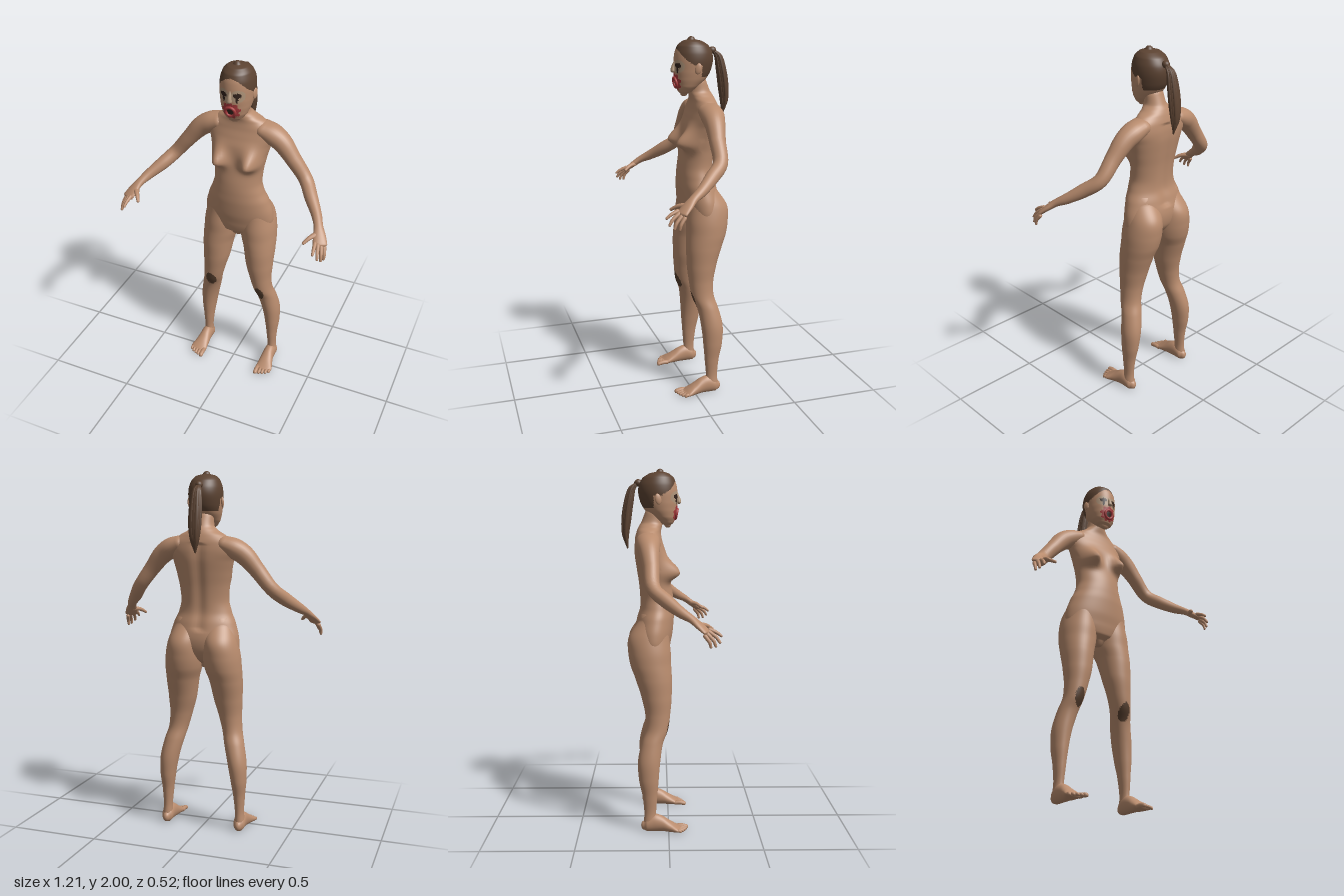
import * as THREE from 'three';

const mat = (name, color) => {
  const m = new THREE.MeshStandardMaterial({ color });
  m.name = name;
  return m;
};

// Smooth loft through [x, y, z, radiusU, radiusV] stations with rounded ends.
// ref sets the direction of radiusU; axis, if given, keeps every ring level.
function loft(stations, { ref = [1, 0, 0], axis = null, seg = 24, steps = 5 } = {}) {
  const pathCurve = new THREE.CatmullRomCurve3(stations.map(s => new THREE.Vector3(s[0], s[1], s[2])));
  const sizeCurve = new THREE.CatmullRomCurve3(stations.map(s => new THREE.Vector3(s[3], s[4], 0)), false, 'catmullrom', 0.4);
  const n = (stations.length - 1) * steps;
  const rings = [];
  for (let i = 0; i <= n; i++) {
    const t = i / n;
    const T = axis ? new THREE.Vector3(...axis) : pathCurve.getTangent(t);
    const U = new THREE.Vector3(...ref);
    U.addScaledVector(T, -U.dot(T)).normalize();
    const V = new THREE.Vector3().crossVectors(T, U);
    const size = sizeCurve.getPoint(t);
    rings.push({ p: pathCurve.getPoint(t), T, U, V, a: size.x, b: size.y });
  }
  const cap = (ring, sign) => [0.5, 1.0, 1.35, 1.55].map(k => ({
    ...ring,
    p: ring.p.clone().addScaledVector(ring.T, sign * 0.8 * Math.min(ring.a, ring.b) * Math.sin(k)),
    a: ring.a * Math.cos(k), b: ring.b * Math.cos(k),
  }));
  const all = [...cap(rings[0], -1).reverse(), ...rings, ...cap(rings[n], 1)];
  const pos = [], idx = [];
  all.forEach((r, i) => {
    for (let j = 0; j < seg; j++) {
      const w = j / seg * Math.PI * 2;
      const v = r.p.clone().addScaledVector(r.U, r.a * Math.cos(w)).addScaledVector(r.V, r.b * Math.sin(w));
      pos.push(v.x, v.y, v.z);
      if (i < all.length - 1) {
        const a = i * seg + j, b = i * seg + (j + 1) % seg;
        idx.push(a, b, a + seg, b, b + seg, a + seg);
      }
    }
  });
  const g = new THREE.BufferGeometry();
  g.setAttribute('position', new THREE.Float32BufferAttribute(pos, 3));
  g.setIndex(idx);
  g.computeVertexNormals();
  return g;
}

// Move each vertex by a rule
function shape(g, rule) {
  const p = g.attributes.position, v = new THREE.Vector3();
  for (let i = 0; i < p.count; i++) {
    rule(v.fromBufferAttribute(p, i));
    p.setXYZ(i, v.x, v.y, v.z);
  }
  g.computeVertexNormals();
  return g;
}

// Sort faces into material groups by the position of their centre
function paint(g, count, rule) {
  const p = g.attributes.position, old = g.index.array;
  const lists = Array.from({ length: count }, () => []);
  for (let i = 0; i < old.length; i += 3) {
    const c = new THREE.Vector3();
    for (let k = 0; k < 3; k++) c.add(new THREE.Vector3().fromBufferAttribute(p, old[i + k]));
    c.divideScalar(3);
    lists[rule(c.x, c.y, c.z)].push(old[i], old[i + 1], old[i + 2]);
  }
  g.setIndex(lists.flat());
  let start = 0;
  lists.forEach((l, m) => { g.addGroup(start, l.length, m); start += l.length; });
  return g;
}

const inOval = (x, y, cx, cy, rx, ry) => ((x - cx) / rx) ** 2 + ((y - cy) / ry) ** 2 < 1;

// [y, half width, front z, back z] to a level station
const level = ([y, rx, f, b]) => [0, y, (f + b) / 2, rx, (f - b) / 2];

export function createModel() {
  const root = new THREE.Group();
  const skin = mat('skin', 0xb98c6e), hair = mat('hair', 0x5c4332), pale = mat('paleSkin', 0xb0957a);
  const red = mat('redPaint', 0xa83a3c), dark = mat('darkPaint', 0x33231c), scuff = mat('kneeScuff', 0x58402f);
  const down = [0, -1, 0];
  const add = (name, geo, material, parent = root) => {
    const m = new THREE.Mesh(geo, material);
    m.name = name;
    parent.add(m);
    return m;
  };
  const ball = (name, material, p, s) => {
    const m = add(name, new THREE.SphereGeometry(1, 20, 14), material);
    m.position.set(...p);
    m.scale.set(...s);
    return m;
  };

  // Neck and trunk, with the chest and spine shaped by a rule
  const torso = loft([
    [1.76, 0.052, -0.03, -0.13], [1.71, 0.058, -0.03, -0.15], [1.685, 0.085, -0.035, -0.165],
    [1.66, 0.13, -0.04, -0.175], [1.62, 0.185, -0.035, -0.185], [1.57, 0.19, -0.02, -0.19],
    [1.52, 0.172, -0.004, -0.188], [1.45, 0.155, 0.005, -0.178], [1.38, 0.142, 0.015, -0.168],
    [1.3, 0.137, 0.028, -0.162], [1.24, 0.152, 0.032, -0.163], [1.18, 0.178, 0.032, -0.18],
    [1.1, 0.2, 0.025, -0.195], [1.03, 0.2, 0.012, -0.185], [0.98, 0.15, 0, -0.15], [0.95, 0.04, -0.03, -0.1],
  ].map(level), { axis: down, seg: 64, steps: 6 });
  shape(torso, v => {
    if (v.z > -0.07) {
      const h = v.y < 1.435 ? 0.038 : 0.065;
      const d = ((Math.abs(v.x) - 0.092) / 0.045) ** 2 + ((v.y - 1.435) / h) ** 2;
      v.z += 0.075 * Math.exp(-d);
    } else if (v.z < -0.1) {
      v.z += 0.012 * Math.exp(-((v.x / 0.03) ** 2)) * (v.y > 1.15 && v.y < 1.62 ? 1 : 0);
    }
  });
  add('torso', torso, skin);

  // Head, with hairline and face paint as face groups
  const head = loft([
    [1.985, 0.02, -0.025, -0.065], [1.975, 0.055, 0.005, -0.105], [1.95, 0.078, 0.033, -0.142],
    [1.91, 0.091, 0.047, -0.162], [1.87, 0.094, 0.052, -0.165], [1.82, 0.09, 0.053, -0.153],
    [1.78, 0.083, 0.05, -0.13], [1.74, 0.07, 0.043, -0.09], [1.71, 0.05, 0.03, -0.05], [1.695, 0.03, 0.015, -0.02],
  ].map(level), { axis: down, seg: 96, steps: 9 });
  paint(head, 5, (x, y, z) => {
    const ax = Math.abs(x);
    const line = z > -0.03 ? 1.935 - 9 * ax * ax : z > -0.08 ? 1.855 : 1.79;
    if (y > line) return 1;
    if (z < -0.02) return 0;
    if (inOval(x, y, 0, 1.755, 0.024, 0.028)) return 3;
    const edge = 1 + 0.12 * Math.sin(9 * Math.atan2(y - 1.76, x));
    if (inOval(x, y, 0, 1.763, 0.048 * edge, 0.045 * edge)) return 2;
    if (inOval(ax, y, 0.038, 1.85, 0.02, 0.013) || inOval(ax, y, 0.036, 1.83, 0.006, 0.022)) return 3;
    if (inOval(ax, y, 0.038, 1.845, 0.034, 0.034)) return 4;
    return 0;
  });
  add('head', head, [skin, hair, red, dark, pale]);
  add('nose', loft([[0, 1.87, 0.046, 0.008, 0.008], [0, 1.84, 0.056, 0.011, 0.012], [0, 1.82, 0.06, 0.015, 0.012]],
    { axis: down, seg: 16 }), pale);
  const lips = add('lips', new THREE.TorusGeometry(0.026, 0.008, 10, 28), red);
  lips.position.set(0, 1.757, 0.046);
  lips.rotation.x = 0.2;

  // Ponytail: a tie, a core and loose strands around it
  ball('hairTie', hair, [0, 1.925, -0.165], [0.02, 0.02, 0.022]);
  const tail = [[0, 1.925, -0.17, 0.012, 0.014], [0, 1.9, -0.197, 0.022, 0.02], [0, 1.82, -0.218, 0.032, 0.026],
    [0, 1.72, -0.232, 0.033, 0.026], [0, 1.64, -0.236, 0.024, 0.018], [0, 1.57, -0.226, 0.004, 0.004]];
  add('ponytail', loft(tail, { axis: down }), hair);
  for (let i = 0; i < 6; i++) {
    const w = i / 6 * Math.PI * 2;
    const strand = tail.map(([x, y, z, a, b], k) => [
      x + a * 0.75 * Math.cos(w), y + (k === 5 ? 0.012 * (i % 3) : 0), z + b * 0.75 * Math.sin(w), a * 0.38, b * 0.38]);
    add('ponytailStrand', loft(strand, { axis: down, seg: 8 }), hair);
  }

  for (const s of [1, -1]) {
    const side = new THREE.Group();
    side.name = s > 0 ? 'leftLimbs' : 'rightLimbs';
    root.add(side);
    const flip = pts => pts.map(([x, ...r]) => [x * s, ...r]);

    const ear = ball('ear', skin, [s * 0.094, 1.835, -0.055], [0.008, 0.03, 0.018]);
    ear.rotation.set(-0.2, s * -0.3, 0);

    // Leg with a scuffed knee
    const kneeY = s > 0 ? 0.55 : 0.57;
    const leg = loft(flip([
      [0.085, 1.18, -0.08, 0.08, 0.08], [0.103, 1.08, -0.108, 0.095, 0.113], [0.11, 1.0, -0.105, 0.104, 0.118],
      [0.117, 0.93, -0.098, 0.102, 0.113], [0.128, 0.86, -0.083, 0.092, 0.102], [0.136, 0.75, -0.066, 0.08, 0.084],
      [0.148, 0.65, -0.06, 0.064, 0.069], [0.162, 0.57, -0.066, 0.056, 0.063], [0.18, 0.5, -0.09, 0.056, 0.06],
      [0.202, 0.4, -0.108, 0.053, 0.062], [0.212, 0.3, -0.11, 0.044, 0.055], [0.215, 0.2, -0.104, 0.032, 0.041],
      [0.217, 0.11, -0.103, 0.025, 0.033], [0.219, 0.05, -0.103, 0.029, 0.036],
    ]), { axis: down, seg: 48, steps: 9 });
    paint(leg, 2, (x, y, z) => z > -0.06 && inOval(x, y, s * 0.155, kneeY, 0.031, 0.052) ? 1 : 0);
    add('leg', leg, [skin, scuff], side);

    // Foot with a flat sole, and toes
    const sole = v => { v.y = Math.max(v.y, 0.004); };
    add('foot', shape(loft(flip([
      [0.218, 0.034, -0.138, 0.02, 0.026], [0.218, 0.04, -0.12, 0.032, 0.04], [0.218, 0.05, -0.08, 0.034, 0.05],
      [0.218, 0.045, -0.04, 0.036, 0.045], [0.221, 0.03, 0.005, 0.043, 0.032], [0.225, 0.02, 0.04, 0.05, 0.02],
      [0.225, 0.015, 0.06, 0.048, 0.013],
    ]), { axis: [0, 0, 1], seg: 32 }), sole), skin, side);
    for (let i = 0; i < 5; i++) {
      const x = [0.187, 0.209, 0.228, 0.247, 0.264][i], r = i ? 0.009 : 0.013, tip = 0.1 - 0.002 * i - 0.0016 * i * i;
      add('toe', shape(loft(flip([[x, 0.017, 0.045, r, r], [x, 0.018, 0.075 - i * 0.004, r, r], [x, 0.012, tip, r, r]]),
        { seg: 12 }), sole), skin, side);
    }

    // Arm and palm
    const up = { ref: [0, 1, 0], seg: 28 };
    add('arm', loft(flip([
      [0.12, 1.615, -0.11, 0.045, 0.065], [0.18, 1.59, -0.108, 0.056, 0.064], [0.235, 1.555, -0.102, 0.054, 0.055],
      [0.305, 1.475, -0.092, 0.044, 0.044], [0.385, 1.375, -0.08, 0.038, 0.039], [0.44, 1.318, -0.015, 0.037, 0.036],
      [0.5, 1.265, 0.06, 0.028, 0.028], [0.53, 1.235, 0.112, 0.02, 0.025], [0.55, 1.205, 0.15, 0.017, 0.034],
      [0.567, 1.175, 0.185, 0.013, 0.038],
    ]), up), skin, side);

    // Fingers and thumb: base, middle, tip
    const digits = [
      [[0.543, 1.187, 0.198], [0.549, 1.172, 0.235], [0.552, 1.155, 0.259]],
      [[0.559, 1.178, 0.195], [0.569, 1.15, 0.233], [0.575, 1.125, 0.25]],
      [[0.575, 1.168, 0.187], [0.586, 1.135, 0.218], [0.589, 1.108, 0.229]],
      [[0.588, 1.16, 0.175], [0.597, 1.128, 0.198], [0.597, 1.104, 0.204]],
      [[0.538, 1.21, 0.142], [0.508, 1.202, 0.185], [0.486, 1.182, 0.217]],
    ];
    digits.forEach((pts, i) => add(i < 4 ? 'finger' : 'thumb',
      loft(flip(pts.map((p, k) => [...p, ...(i < 4 ? [[0.011, 0.011], [0.009, 0.009], [0.007, 0.007]]
        : [[0.015, 0.018], [0.011, 0.012], [0.008, 0.008]])[k]])), { ref: [0, 1, 0], seg: 12 }), skin, side));
  }
  return root;
}
